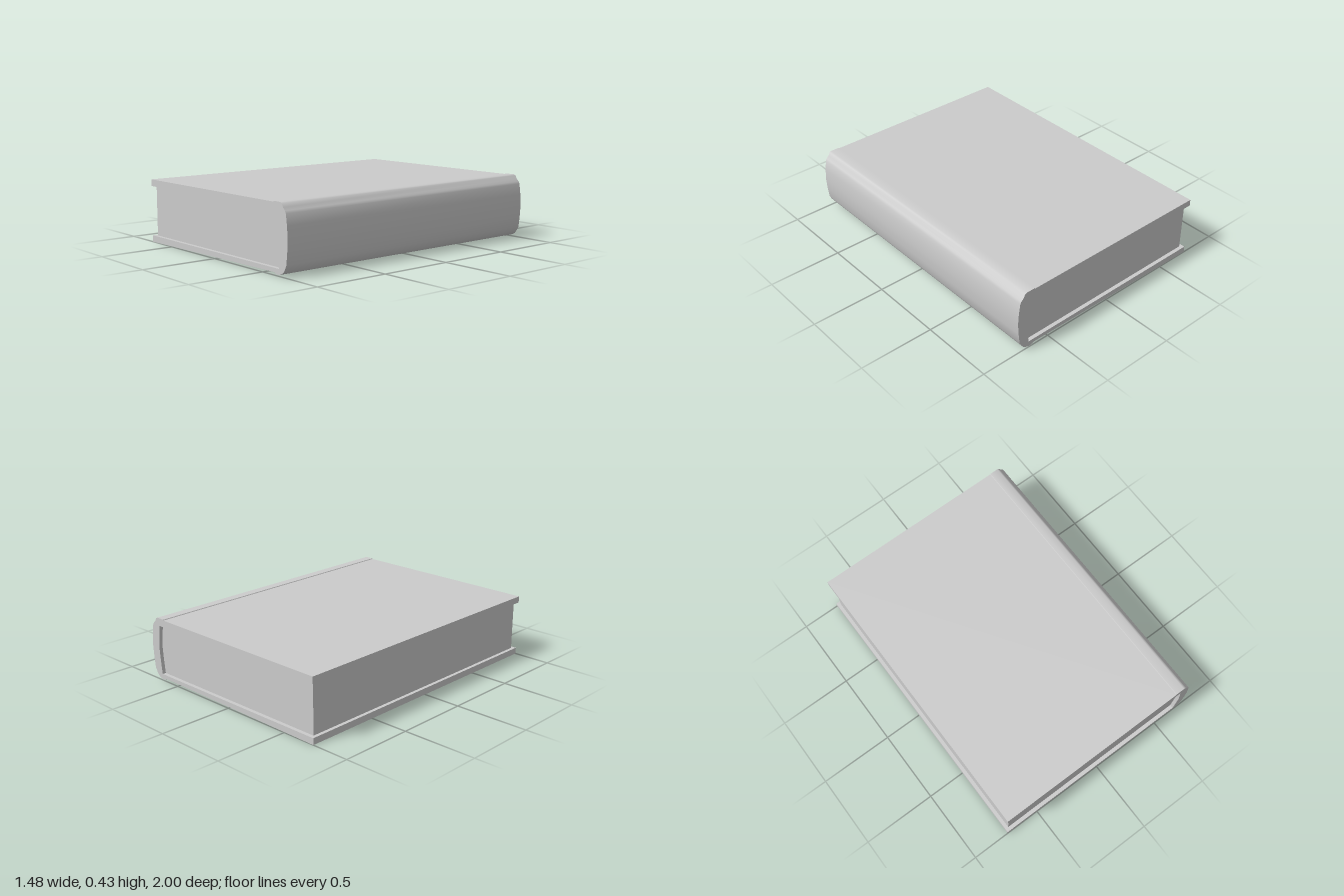
import * as THREE from 'three';
import { toCreasedNormals } from 'three/addons/utils/BufferGeometryUtils.js';

const material = new THREE.MeshStandardMaterial({ color: 0xcccccc });

// Extrude an x/y outline along z, centred on z = 0
function slab(name, points, depth) {
  const shape = new THREE.Shape(points.map(([x, y]) => new THREE.Vector2(x, y)));
  const geometry = new THREE.ExtrudeGeometry(shape, { depth, bevelEnabled: false });
  geometry.translate(0, 0, -depth / 2);
  const mesh = new THREE.Mesh(toCreasedNormals(geometry, 0.65), material);
  mesh.name = name;
  return mesh;
}

export function createModel() {
  const book = new THREE.Group();
  book.name = 'book';

  // Curved inner face of the spine, shared by the binding and the pages
  const innerSpine = [[0.655, 0.045], [0.665, 0.13], [0.672, 0.215], [0.665, 0.3], [0.655, 0.378]];

  // Binding: bottom board, rounded spine with raised hinges, top board
  const binding = [
    [-0.74, 0.002], [0.615, 0.02],
    [0.625, 0.012], [0.645, 0.008], [0.67, 0.013], [0.695, 0.025], [0.712, 0.048], [0.726, 0.075],
    [0.735, 0.15], [0.74, 0.225], [0.735, 0.3], [0.725, 0.37], [0.717, 0.385], [0.7, 0.402],
    [0.688, 0.424], [0.675, 0.43], [0.615, 0.43], [0.612, 0.425],
    [-0.74, 0.422], [-0.74, 0.378],
    ...[...innerSpine].reverse(),
    [-0.74, 0.045],
  ];
  book.add(slab('cover', binding, 2));

  // Page block, set in from the edges of the boards
  const pages = [[-0.717, 0.045], ...innerSpine, [-0.717, 0.378]];
  book.add(slab('pages', pages, 1.95));

  return book;
}
